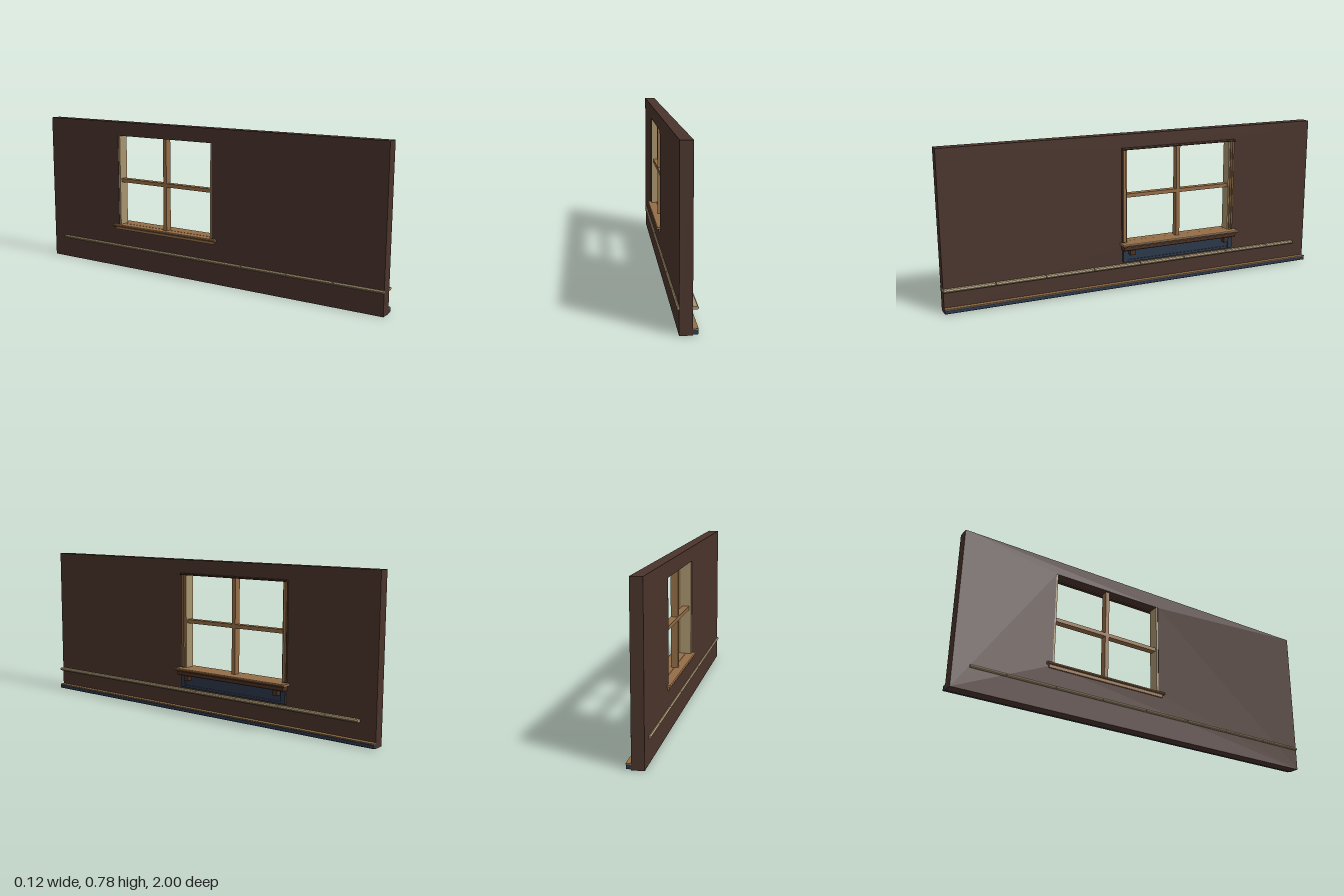
import * as THREE from 'three';

export function createModel() {
  const root = new THREE.Group();
  root.name = 'windowWall';

  const material = (name, color) => {
    const m = new THREE.MeshStandardMaterial({ color });
    m.name = name;
    return m;
  };
  const wallBrown = material('wallBrown', 0x4a342c);
  const darkWood = material('darkWood', 0x4c3022);
  const wood = material('warmWood', 0x946d46);
  const cream = material('paleWood', 0xa8946e);
  const navy = material('navyPaint', 0x2b384b);

  const add = (name, geometry, mat) => {
    const mesh = new THREE.Mesh(geometry, mat);
    mesh.name = name;
    root.add(mesh);
    return mesh;
  };
  // Box given by its limits on each axis
  const box = (name, mat, x0, x1, y0, y1, z0, z1) => {
    const g = new THREE.BoxGeometry(x1 - x0, y1 - y0, z1 - z0);
    g.translate((x0 + x1) / 2, (y0 + y1) / 2, (z0 + z1) / 2);
    return add(name, g, mat);
  };
  // Moulding with chamfered long edges, running along z
  const moulding = (name, mat, x0, x1, y0, y1, z0, z1, c) => {
    const s = new THREE.Shape([
      [x0 + c, y0], [x1 - c, y0], [x1, y0 + c], [x1, y1 - c],
      [x1 - c, y1], [x0 + c, y1], [x0, y1 - c], [x0, y0 + c],
    ].map(([x, y]) => new THREE.Vector2(x, y)));
    const g = new THREE.ExtrudeGeometry(s, { depth: z1 - z0, bevelEnabled: false });
    g.translate(0, 0, z0);
    return add(name, g, mat);
  };

  // Wall and opening limits
  const back = -0.045, face = 0.01;
  const zA = -0.52, zB = 0.08, zMid = (zA + zB) / 2;
  const sillTop = 0.232, head = 0.708;

  // Wall slab with the window opening cut through it
  const slab = new THREE.Shape();
  slab.moveTo(-1, 0).lineTo(1, 0).lineTo(1, 0.78).lineTo(-1, 0.78).closePath();
  const hole = new THREE.Path();
  hole.moveTo(-zB, 0.222).lineTo(-zB, head).lineTo(-zA, head).lineTo(-zA, 0.222).closePath();
  slab.holes.push(hole);
  const wallGeo = new THREE.ExtrudeGeometry(slab, { depth: face - back, bevelEnabled: false });
  wallGeo.rotateY(Math.PI / 2);
  wallGeo.translate(back, 0, 0);
  add('wall', wallGeo, wallBrown);

  // Jambs and side casings, mirrored about the window centre
  for (const s of [-1, 1]) {
    const side = (name, mat, x0, x1, y0, y1, d0, d1) => {
      const a = zMid + s * d0, b = zMid + s * d1;
      return box(name, mat, x0, x1, y0, y1, Math.min(a, b), Math.max(a, b));
    };
    side('jamb', cream, back + 0.002, face + 0.002, 0.225, head, 0.29, 0.301);
    side('casingInner', wood, face - 0.002, 0.02, sillTop, 0.704, 0.297, 0.304);
    side('casingBack', darkWood, face - 0.002, 0.018, sillTop, 0.706, 0.304, 0.318);
    side('casingBead', wood, 0.018, 0.025, 0.238, 0.704, 0.306, 0.314);
    // Bracket below the sill and end block of the apron
    side('bracket', darkWood, face - 0.002, 0.04, 0.17, 0.198, 0.257, 0.283);
    side('apronEnd', navy, face - 0.002, 0.022, 0.135, 0.2, 0.29, 0.314);
  }
  moulding('headCasing', darkWood, face - 0.002, 0.029, 0.704, 0.713, -0.537, 0.097, 0.002);

  // Glazing bars
  box('verticalBar', wood, -0.033, 0.002, 0.225, head, zMid - 0.01, zMid + 0.01);
  box('horizontalBar', wood, -0.033, 0.002, 0.46, 0.479, zA + 0.008, zB - 0.008);

  // Sill in two boards, with mouldings under both edges
  moulding('sillFront', wood, -0.018, 0.06, 0.22, sillTop, -0.552, 0.108, 0.004);
  moulding('sillBack', wood, -0.063, -0.012, 0.22, sillTop - 0.0005, -0.552, 0.108, 0.004);
  box('sillBackTrim', wood, -0.053, back + 0.002, 0.205, 0.221, -0.54, 0.098);
  moulding('sillMoulding', darkWood, face - 0.002, 0.047, 0.197, 0.218, -0.541, 0.1, 0.003);

  // Apron panel below the sill
  box('apronPanel', navy, face - 0.002, 0.016, 0.142, 0.198, -0.511, 0.071);
  box('apronLowerRail', navy, face - 0.002, 0.02, 0.13, 0.142, -0.534, 0.094);

  // Chair rail in short lengths, showing on both faces of the wall
  for (let i = 0; i < 8; i++) {
    const z1 = 1 - i * 0.25;
    const z0 = i === 7 ? -0.92 : z1 - 0.245;
    moulding('chairRail', cream, -0.054, 0.033, 0.107, 0.121, z0, z1, 0.005);
  }

  // Baseboard with a wooden cap
  moulding('baseboard', navy, face - 0.003, 0.032, 0.004, 0.023, -1, 1, 0.002);
  box('baseboardCap', wood, face - 0.002, 0.033, 0.023, 0.028, -1, 1);

  return root;
}
